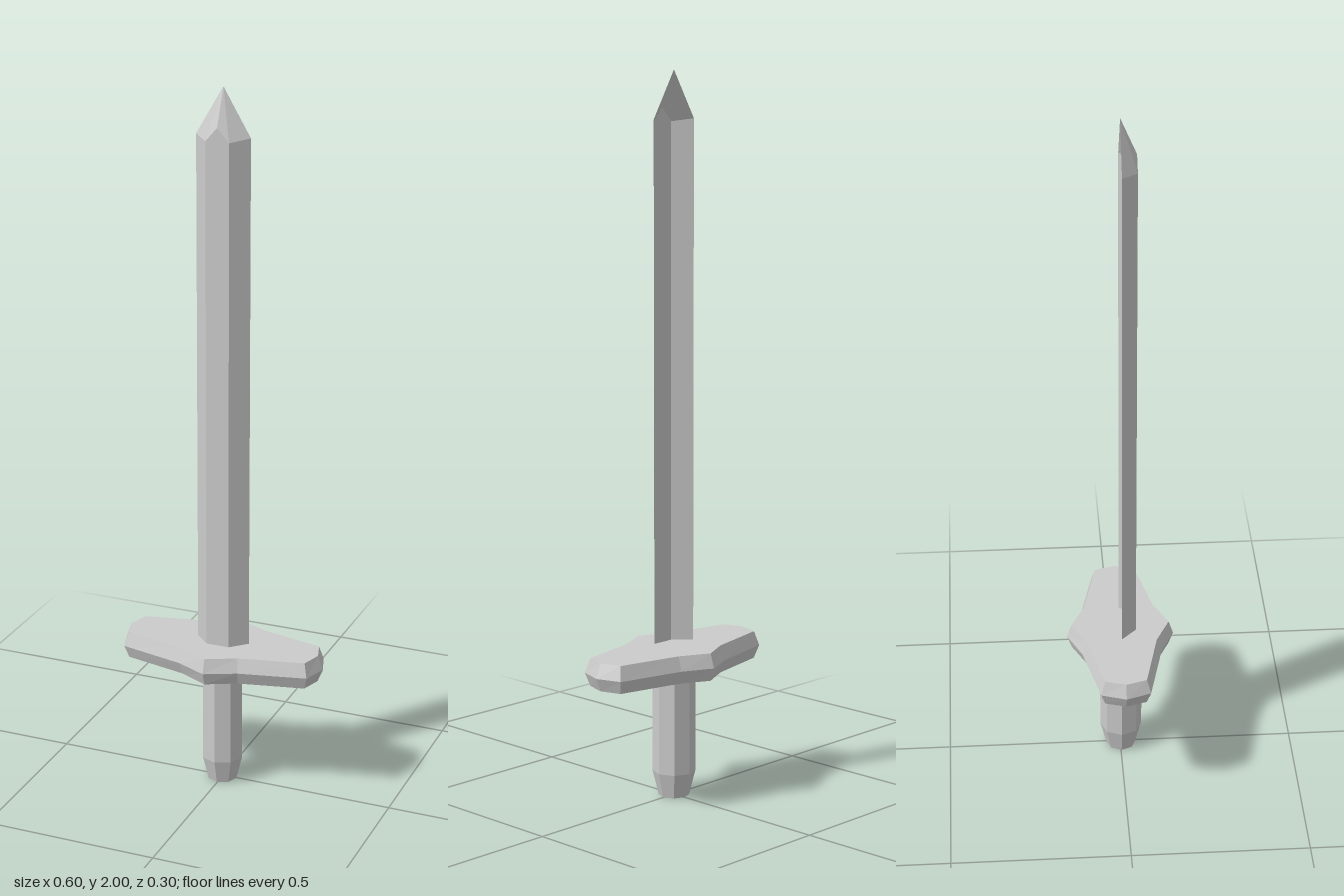
import * as THREE from 'three';

const grey = new THREE.MeshStandardMaterial({ color: 0xcccccc, flatShading: true });
const thin = new THREE.MeshStandardMaterial({ color: 0xcccccc, flatShading: true, side: THREE.DoubleSide });

// Joins equal-length rings of [x, y, z] points, bottom to top, each ring running from +z towards +x.
function loft(rings, closed, capped) {
  const n = rings[0].length;
  const index = [];
  for (let r = 0; r < rings.length - 1; r++) {
    for (let i = 0; i < (closed ? n : n - 1); i++) {
      const j = (i + 1) % n;
      const a = r * n + i, b = r * n + j;
      index.push(a, b, b + n, a, b + n, a + n);
    }
  }
  const points = rings.flat();
  if (capped) {
    // Fan caps around the centre of the first and last ring
    [0, rings.length - 1].forEach((r, end) => {
      const centre = points.length;
      points.push([0, rings[r][0][1], 0]);
      for (let i = 0; i < n; i++) {
        const a = r * n + i, b = r * n + (i + 1) % n;
        index.push(centre, end ? a : b, end ? b : a);
      }
    });
  }
  const geometry = new THREE.BufferGeometry();
  geometry.setAttribute('position', new THREE.Float32BufferAttribute(points.flat(), 3));
  geometry.setIndex(index);
  const flat = geometry.toNonIndexed();
  flat.computeVertexNormals();
  return flat;
}

// Mirrors a quarter outline (front point to side point) into a full ring
function mirrorRing(quarter, y) {
  const back = quarter.slice(0, -1).reverse().map(([x, z]) => [x, -z]);
  const right = [...quarter, ...back];
  const left = right.slice(1, -1).reverse().map(([x, z]) => [-x, z]);
  return [...right, ...left].map(([x, z]) => [x, y, z]);
}

export function createModel() {
  const model = new THREE.Group();
  const add = (name, geometry, material) => {
    const mesh = new THREE.Mesh(geometry, material);
    mesh.name = name;
    model.add(mesh);
    return mesh;
  };

  // Grip: octagonal, tapering to the pommel end
  const grip = add('grip', new THREE.LatheGeometry([
    new THREE.Vector2(0, 0),
    new THREE.Vector2(0.043, 0),
    new THREE.Vector2(0.06, 0.07),
    new THREE.Vector2(0.06, 0.37),
    new THREE.Vector2(0, 0.37),
  ], 8), grey);
  grip.position.set(-0.002, 0, 0.002);

  // Crossguard: pointed plate with bevelled rim
  const outer = [[0, 0.152], [0.087, 0.112], [0.275, 0.069], [0.298, 0]];
  const inner = [[0, 0.139], [0.083, 0.099], [0.265, 0.058], [0.283, 0]];
  add('crossguard', loft([
    mirrorRing(inner, 0.353),
    mirrorRing(outer, 0.39),
    mirrorRing(inner, 0.43),
  ], true, true), grey);

  // Blade: bevelled half shell, open at the back, rising to a point
  const section = [[-0.077, 0], [-0.033, 0.043], [0, 0.043], [0.033, 0.043], [0.077, 0]];
  const shoulder = [1.87, 1.862, 1.9, 1.862, 1.87];
  add('blade', loft([
    section.map(([x, z]) => [x, 0.42, z]),
    section.map(([x, z], i) => [x, shoulder[i], z]),
    section.map(() => [0, 2, 0]),
  ], false, false), thin);

  return model;
}
